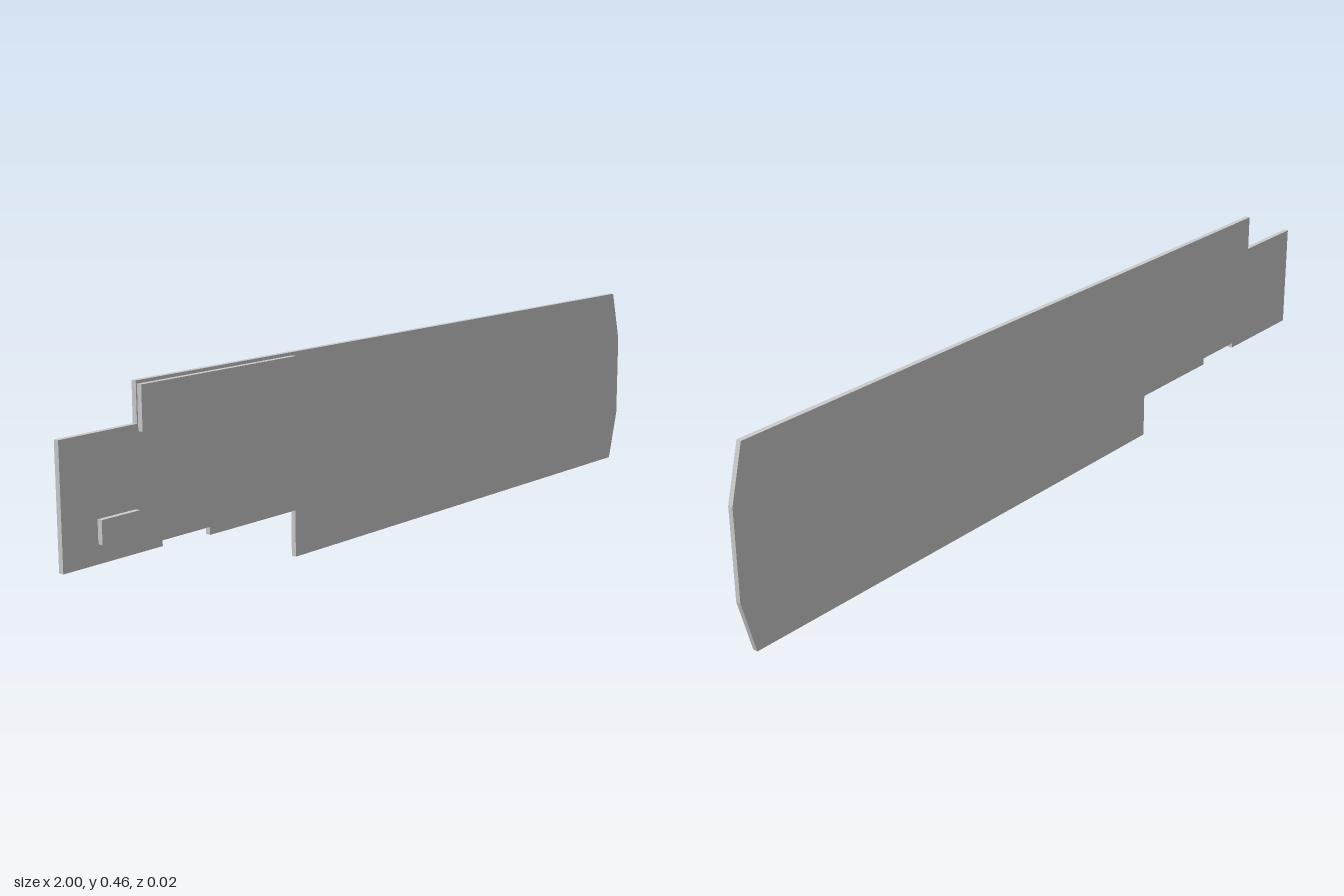
import * as THREE from 'three';

export function createModel() {
  const group = new THREE.Group();
  const material = new THREE.MeshStandardMaterial({ color: 0xcccccc, flatShading: true });
  const thickness = 0.012;

  // Extrudes an outline forward from the given z
  function addPlate(name, points, z) {
    const shape = new THREE.Shape(points.map(([x, y]) => new THREE.Vector2(x, y)));
    const geometry = new THREE.ExtrudeGeometry(shape, { depth: thickness, bevelEnabled: false });
    const mesh = new THREE.Mesh(geometry, material);
    mesh.name = name;
    mesh.position.z = z;
    group.add(mesh);
  }

  const rectangle = (x0, y0, x1, y1) => [[x0, y0], [x1, y0], [x1, y1], [x0, y1]];

  // Flat panel with chamfered right end and stepped, notched left end
  addPlate('mainPanel', [
    [-1, 0.11], [-0.74, 0.11], [-0.74, 0.122], [-0.605, 0.122], [-0.605, 0.105],
    [-0.34, 0.105], [-0.34, 0], [0.967, 0], [1, 0.123], [1, 0.33],
    [0.967, 0.456], [-0.8, 0.456], [-0.8, 0.37], [-1, 0.37],
  ], -thickness);

  // Raised blocks on the front face
  addPlate('upperBlock', rectangle(-0.797, 0.355, -0.345, 0.449), 0);
  addPlate('smallBlock', rectangle(-0.91, 0.15, -0.81, 0.2), 0);

  return group;
}
